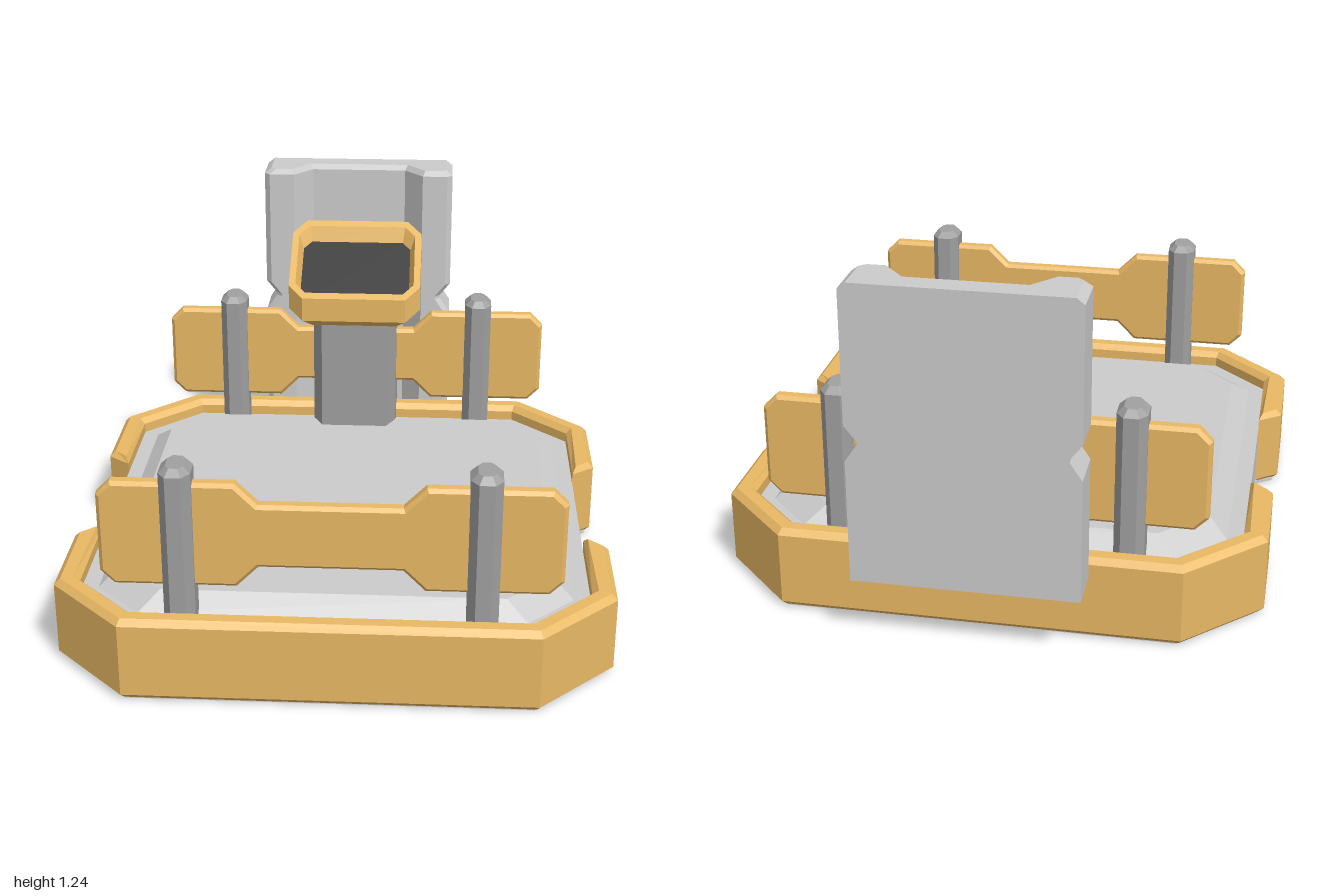
import * as THREE from 'three';

const mat = (color) => new THREE.MeshStandardMaterial({ color, flatShading: true });
const GREY = mat(0xcccccc), STEEL = mat(0xa0a0a0), ORANGE = mat(0xe8b864), DARK = mat(0x363636);

// Chamfered rectangle in plan, counterclockwise seen from above
function octagon(hx, hz, cx, cz, y, x0 = 0, z0 = 0, slope = 0) {
  return [[hx, hz - cz], [hx, cz - hz], [hx - cx, -hz], [cx - hx, -hz],
    [-hx, cz - hz], [-hx, hz - cz], [cx - hx, hz], [hx - cx, hz]]
    .map(([x, z]) => [x + x0, y - slope * z, z + z0]);
}

// Closed solid through rings of equal point count, listed from bottom to top
function loft(rings) {
  const n = rings[0].length, index = [];
  for (let i = 0; i < rings.length - 1; i++) {
    for (let j = 0; j < n; j++) {
      const a = i * n + j, b = i * n + (j + 1) % n;
      index.push(a, b, b + n, a, b + n, a + n);
    }
  }
  const cap = (ring) => THREE.ShapeUtils.triangulateShape(
    ring.map(([x, , z]) => new THREE.Vector2(x, -z)), []);
  const last = (rings.length - 1) * n;
  for (const [a, b, c] of cap(rings[0])) index.push(a, c, b);
  for (const [a, b, c] of cap(rings[rings.length - 1])) index.push(last + a, last + b, last + c);
  const g = new THREE.BufferGeometry();
  g.setAttribute('position', new THREE.Float32BufferAttribute(rings.flat(2), 3));
  g.setIndex(index);
  const flat = g.toNonIndexed();
  flat.computeVertexNormals();
  return flat;
}

// Extruded outline with bevelled edges, from z = 0 to z = h
function slab(points, h, bevel) {
  const g = new THREE.ExtrudeGeometry(new THREE.Shape(points.map(([x, y]) => new THREE.Vector2(x, y))), {
    depth: h - 2 * bevel, bevelEnabled: bevel > 0, bevelSize: bevel, bevelThickness: bevel,
    bevelOffset: -bevel, bevelSegments: 1,
  });
  return g.translate(0, 0, bevel);
}

// The same for an outline given in plan (x, z), rising from y = 0
const planSlab = (points, h, bevel) =>
  slab(points.map(([x, z]) => [x, -z]), h, bevel).rotateX(-Math.PI / 2);

export function createModel() {
  const group = new THREE.Group();
  const add = (name, geometry, material) => {
    const mesh = new THREE.Mesh(geometry, material);
    mesh.name = name;
    group.add(mesh);
    return mesh;
  };
  const MID = 0.09; // centre of the platform along z

  // Platform with a raised, bevelled floor
  add('platform', loft([
    octagon(0.81, 0.81, 0.195, 0.195, 0, 0, MID),
    octagon(0.83, 0.83, 0.203, 0.203, 0.02, 0, MID),
    octagon(0.83, 0.83, 0.203, 0.203, 0.235, 0, MID),
    octagon(0.775, 0.76, 0.155, 0.155, 0.235, 0, MID),
    octagon(0.71, 0.70, 0.155, 0.155, 0.288, 0, MID),
  ]), GREY);

  // Wrap-around bumpers, the rear one mirroring the front
  const outer = [[-0.83, 0.35], [-0.91, 0.41], [-0.91, 0.75], [-0.66, 1],
    [0.66, 1], [0.91, 0.75], [0.91, 0.41], [0.83, 0.35]];
  const inner = [[0.83, 0.717], [0.627, 0.92], [-0.627, 0.92], [-0.83, 0.717]];
  const mirror = (pts) => pts.map(([x, z]) => [x, 2 * MID - z]);
  const bumper = [...outer, ...inner];
  add('frontBumper', planSlab(bumper, 0.287, 0.02), ORANGE).position.y = 0.003;
  add('rearBumper', planSlab(mirror(bumper), 0.287, 0.02), ORANGE).position.y = 0.003;

  // Underside plate
  const underside = [...outer, ...mirror(outer).reverse()]
    .map(([x, z]) => [x * 0.978, MID + (z - MID) * 0.978]);
  add('undersidePlate', planSlab(underside, 0.01, 0), GREY);

  // Guard rails, narrower in the middle, each on two posts
  const half = [[0.225, 0.43], [0.295, 0.36], [0.68, 0.36], [0.725, 0.405],
    [0.725, 0.67], [0.68, 0.715], [0.295, 0.715], [0.225, 0.645]];
  const rail = [...half, ...half.map(([x, y]) => [-x, y]).reverse()];
  for (const [end, z] of [['front', 0.865], ['rear', -0.68]]) {
    add(end + 'Rail', slab(rail, 0.052, 0.012), ORANGE).position.z = z - 0.026;
    for (const [side, x] of [['Left', 0.475], ['Right', -0.475]]) {
      add(end + side + 'Post', loft([
        octagon(0.05, 0.07, 0.025, 0.035, 0.2, x, z),
        octagon(0.05, 0.07, 0.025, 0.035, 0.755, x, z),
        octagon(0.028, 0.048, 0.014, 0.02, 0.777, x, z),
      ]), STEEL);
    }
  }

  // Console column with a sloping top
  const SLOPE = 0.6;
  add('consoleColumn', loft([
    octagon(0.16, 0.19, 0.035, 0.07, 0.2, 0, -0.72),
    octagon(0.16, 0.19, 0.035, 0.07, 0.84, 0, -0.72, SLOPE),
  ]), STEEL);

  // Tilted console frame with a recess for the screen
  const CZ = -0.65;
  add('consoleFrame', loft([
    octagon(0.205, 0.13, 0.045, 0.045, 0.788, 0, CZ, SLOPE),
    octagon(0.25, 0.17, 0.055, 0.055, 0.842, 0, CZ, SLOPE),
    octagon(0.25, 0.17, 0.055, 0.055, 0.932, 0, CZ, SLOPE),
    octagon(0.225, 0.145, 0.04, 0.04, 0.932, 0, CZ, SLOPE),
    octagon(0.207, 0.125, 0.03, 0.03, 0.88, 0, CZ, SLOPE),
  ]), ORANGE);
  add('screen', loft([
    octagon(0.207, 0.125, 0.03, 0.03, 0.87, 0, CZ, SLOPE),
    octagon(0.207, 0.125, 0.03, 0.03, 0.886, 0, CZ, SLOPE),
  ]), DARK);

  // Back panel: channel down the front, a notch in each side, bevelled top
  const section = (y, w, inset = 0) => {
    const side = [[w - inset, -1], [0.18 + inset, -0.91 - inset], [0.25 + inset, -0.825 - inset],
      [w - 0.02 - inset, -0.825 - inset], [w - inset, -0.845 - inset]];
    const [back, c, f, e, s] = side;
    const flip = ([x, z]) => [-x, z];
    return [back, flip(back), flip(s), flip(e), flip(f), flip(c), c, f, e, s].map(([x, z]) => [x, y, z]);
  };
  add('backPanel', loft([
    section(0.24, 0.365), section(0.655, 0.365), section(0.715, 0.325), section(0.725, 0.325),
    section(0.775, 0.365), section(1.215, 0.365), section(1.235, 0.35, 0.01),
  ]), GREY);

  return group;
}
